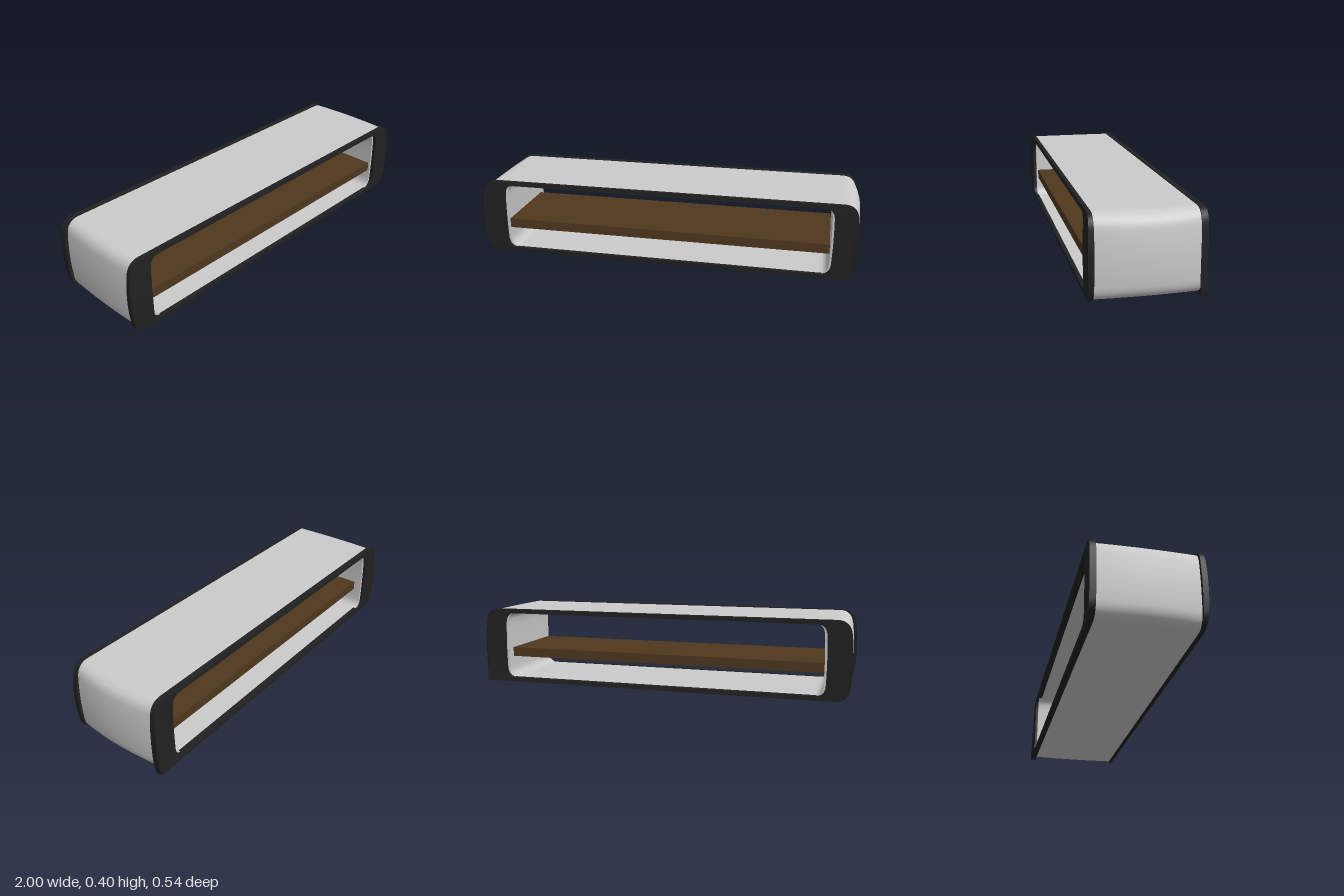
import * as THREE from 'three';
import { toCreasedNormals } from 'three/addons/utils/BufferGeometryUtils.js';

// Rounded rectangle whose short sides bow outward; br is the bottom right radius
function outline(path, x0, x1, y0, y1, r, bow, br = r) {
  const ym = (y0 + y1) / 2;
  path.moveTo(x0 + r, y0);
  path.lineTo(x1 - br, y0);
  path.quadraticCurveTo(x1 - br * 0.1, y0, x1, y0 + br);
  path.quadraticCurveTo(x1 + 2 * bow, ym, x1, y1 - r);
  path.quadraticCurveTo(x1 - r * 0.1, y1, x1 - r, y1);
  path.lineTo(x0 + r, y1);
  path.quadraticCurveTo(x0 + r * 0.1, y1, x0, y1 - r);
  path.quadraticCurveTo(x0 - 2 * bow, ym, x0, y0 + r);
  path.quadraticCurveTo(x0 + r * 0.1, y0, x0 + r, y0);
  return path;
}

// Extruded frame from z0 to z1, with every vertex moved by a rule
function frame(outer, inner, z0, z1, steps, rule) {
  const shape = outline(new THREE.Shape(), ...outer);
  shape.holes.push(outline(new THREE.Path(), ...inner));
  const geo = new THREE.ExtrudeGeometry(shape, { depth: z1 - z0, steps, bevelEnabled: false, curveSegments: 10 });
  geo.translate(0, 0, z0);
  const p = geo.attributes.position;
  const v = new THREE.Vector3();
  for (let i = 0; i < p.count; i++) {
    rule(v.fromBufferAttribute(p, i));
    p.setXYZ(i, v.x, v.y, v.z);
  }
  return toCreasedNormals(geo, 0.6);
}

export function createModel() {
  const group = new THREE.Group();
  const add = (name, geo, color) => {
    const mesh = new THREE.Mesh(geo, new THREE.MeshStandardMaterial({ color }));
    mesh.name = name;
    group.add(mesh);
    return mesh;
  };

  // Grey tube body, its ends bowed along the depth
  add('shell', frame(
    [-0.972, 0.968, 0.003, 0.397, 0.07, 0.006],
    [-0.86, 0.852, 0.02, 0.38, 0.05, 0.003],
    -0.245, 0.25, 10,
    (v) => {
      const b = 1 - (v.z / 0.25) ** 2;
      if (v.x > 0.9) v.x += 0.022 * b * (v.x - 0.9) / 0.07;
      if (v.x < -0.9) v.x -= 0.01 * b * (-v.x - 0.9) / 0.07;
    }), 0xcccccc);

  // Front rim, its face slightly domed
  add('frontRim', frame(
    [-0.99, 0.98, 0, 0.4, 0.075, 0.009],
    [-0.872, 0.862, 0.022, 0.378, 0.05, 0.003],
    0.243, 0.263, 1,
    (v) => { if (v.z > 0.25) v.z += 0.007 * (1 - ((v.y - 0.2) / 0.2) ** 2); }), 0x212121);

  // Back rim, with a square flared foot at the bottom corner
  add('backRim', frame(
    [-0.99, 0.977, 0, 0.4, 0.075, 0.007, 0.008],
    [-0.872, 0.862, 0.022, 0.378, 0.05, 0.003],
    -0.258, -0.228, 1,
    (v) => {
      if (v.x > 0.8) v.z -= 0.011 * Math.max(0, 1 - v.y / 0.08) ** 2;
    }), 0x212121);

  // Shelf board
  add('shelf', new THREE.BoxGeometry(1.72, 0.05, 0.44), 0x4f381e).position.set(-0.01, 0.155, 0.02);

  return group;
}
